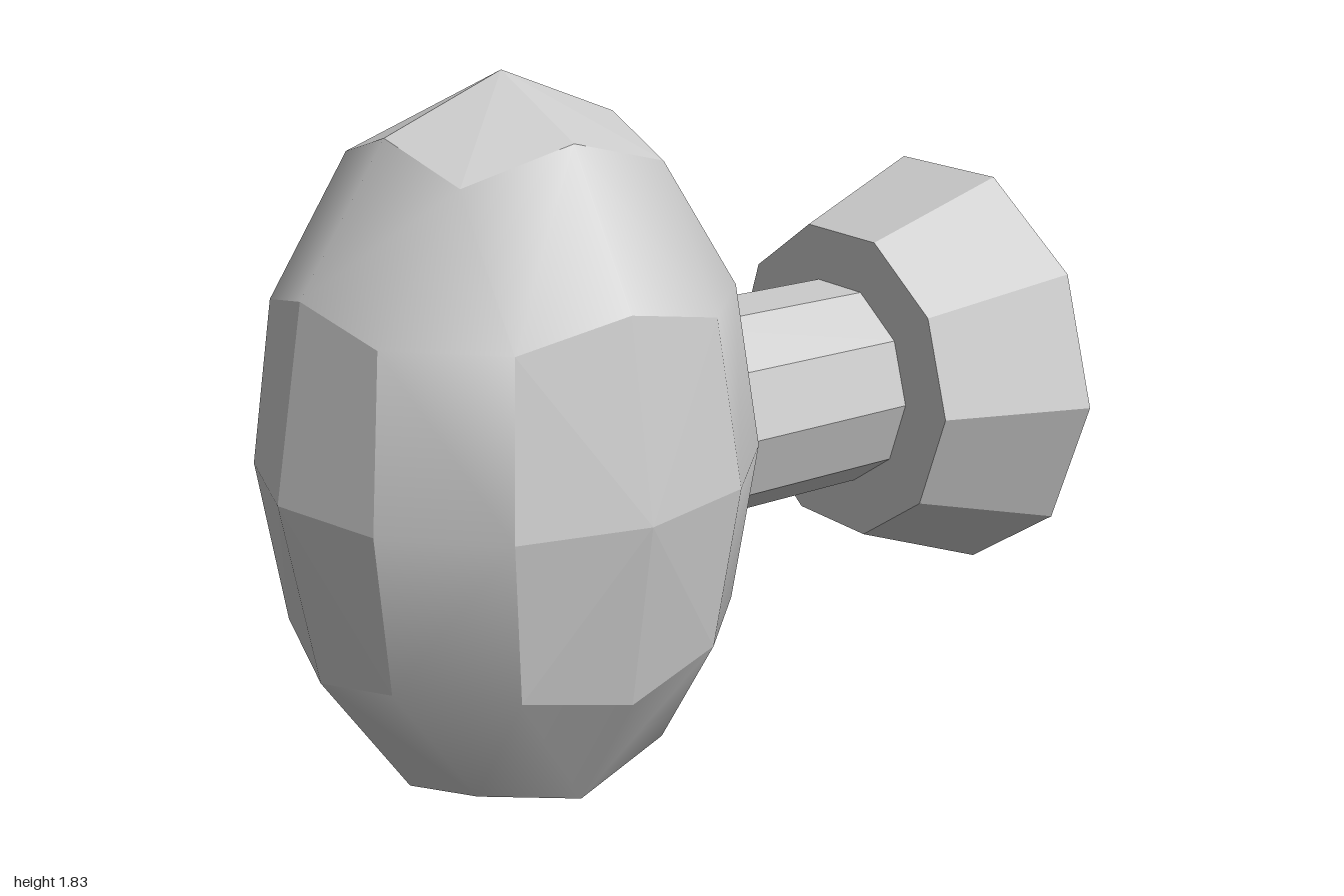
import * as THREE from 'three';
import { mergeVertices } from 'three/addons/utils/BufferGeometryUtils.js';

const CY = 0.916; // height of the knob's axis
const material = new THREE.MeshStandardMaterial({ color: 0xcccccc, side: THREE.DoubleSide });

// Point on the unit sphere: face axis, face sign s, and grid steps i, j (-1, 0, 1)
function facePoint(axis, s, i, j) {
  const [side, out] = i && j ? [0.437, 0.786] : i || j ? [0.5, 0.866] : [0, 1];
  const p = [0, 0, 0];
  p[axis] = s * out;
  p[(axis + 1) % 3] = i * side;
  p[(axis + 2) % 3] = j * side;
  return new THREE.Vector3(...p);
}

// Add a convex polygon as a fan, turned to face away from the origin
function addPolygon(list, pts) {
  const n = new THREE.Vector3().crossVectors(
    pts[1].clone().sub(pts[0]), pts[2].clone().sub(pts[0]));
  if (n.dot(pts[0]) < 0) pts = [pts[0], ...pts.slice(1).reverse()];
  for (let k = 1; k < pts.length - 1; k++) list.push(pts[0], pts[k], pts[k + 1]);
}

function ballMesh(name, points, smooth) {
  let geo = new THREE.BufferGeometry().setFromPoints(points);
  if (smooth) geo = mergeVertices(geo, 1e-4);
  geo.computeVertexNormals();
  geo.scale(0.607, CY, 0.59);
  const mesh = new THREE.Mesh(geo, material);
  mesh.name = name;
  return mesh;
}

// Ten-sided flat-shaded section along x
function section(name, x0, x1, r0, r1) {
  const geo = new THREE.CylinderGeometry(r1, r0, x1 - x0, 10).toNonIndexed();
  geo.rotateZ(-Math.PI / 2);
  geo.computeVertexNormals();
  const mesh = new THREE.Mesh(geo, material);
  mesh.position.set((x0 + x1) / 2, CY, 0);
  mesh.name = name;
  return mesh;
}

export function createModel() {
  const model = new THREE.Group();
  model.name = 'doorKnob';
  const facets = [], bands = [], signs = [-1, 1];

  for (let a = 0; a < 3; a++) {
    const b = (a + 1) % 3;
    for (const s of signs) for (const i of signs) {
      for (const j of signs) {
        // Four flat facets around each pole
        addPolygon(facets, [facePoint(a, s, 0, 0), facePoint(a, s, i, 0),
          facePoint(a, s, i, j), facePoint(a, s, 0, j)]);
        // Smooth band joining neighbouring poles (axes a and b)
        addPolygon(bands, [facePoint(a, s, i, 0), facePoint(b, i, 0, s),
          facePoint(b, i, j, s), facePoint(a, s, i, j)]);
      }
    }
  }
  // Corner triangles where three bands meet
  for (const x of signs) for (const y of signs) for (const z of signs)
    addPolygon(bands, [facePoint(0, x, y, z), facePoint(1, y, z, x), facePoint(2, z, x, y)]);

  const handle = new THREE.Group();
  handle.name = 'handle';
  handle.add(ballMesh('handleFacets', facets, false), ballMesh('handleBands', bands, true));
  handle.position.set(-0.393, CY, 0);

  model.add(handle,
    section('neck', 0.05, 0.64, 0.272, 0.272),
    section('flaredBase', 0.63, 1, 0.42, 0.56));
  return model;
}
